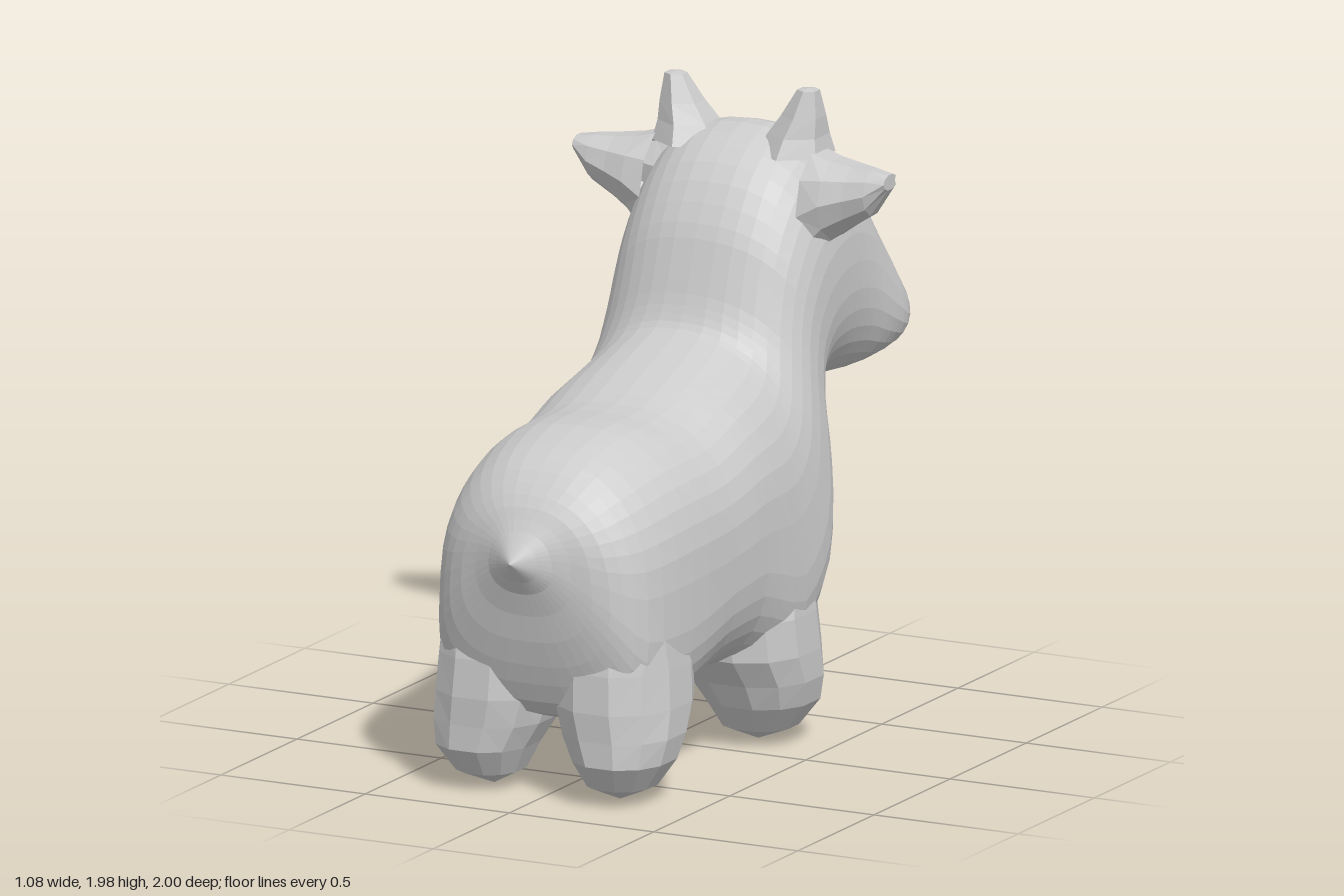
import * as THREE from 'three';

const material = new THREE.MeshStandardMaterial({ color: 0xcccccc, flatShading: true, side: THREE.DoubleSide });

// Skin a list of closed rings of points; side = -1 mirrors in x
function skin(name, rings, side = 1) {
  const n = rings[0].length, positions = [], index = [];
  rings.forEach(ring => ring.forEach(p => positions.push(p.x * side, p.y, p.z)));
  for (let i = 0; i < rings.length - 1; i++) {
    for (let j = 0; j < n; j++) {
      const k = (j + 1) % n;
      const a = i * n + j, b = a + n, c = i * n + k, d = c + n;
      if (side > 0) index.push(a, b, c, c, b, d);
      else index.push(a, c, b, c, d, b);
    }
  }
  const geometry = new THREE.BufferGeometry();
  geometry.setAttribute('position', new THREE.Float32BufferAttribute(positions, 3));
  geometry.setIndex(index);
  geometry.computeVertexNormals();
  const mesh = new THREE.Mesh(geometry, material);
  mesh.name = name;
  return mesh;
}

// Point on a rounded-square unit outline
function outline(angle, power) {
  const c = Math.cos(angle), s = Math.sin(angle), e = 2 / power;
  return [Math.sign(c) * Math.abs(c) ** e, Math.sign(s) * Math.abs(s) ** e];
}

// Ring list from [x, y, z, radiusU, radiusV]; place() maps the unit outline
function limbRings(rows, sides, power, place) {
  return rows.map(row => Array.from({ length: sides }, (_, j) => {
    const [u, v] = outline(((j + 0.5) / sides) * Math.PI * 2, power);
    return place(row, u, v);
  }));
}

// Torso, neck and head: sections hung between a back line and a belly line
function makeBody() {
  // backZ, backY, upper half width, bellyZ, bellyY, lower half width, lower squareness
  const sections = [
    [1.0, 0.79, 0, 1.0, 0.79, 0, 2.2], // tail tip
    [0.93, 0.88, 0.1, 0.925, 0.68, 0.12, 2.2],
    [0.865, 0.98, 0.25, 0.865, 0.44, 0.3, 2.8],
    [0.76, 1.07, 0.34, 0.78, 0.27, 0.38, 3.4],
    [0.55, 1.13, 0.4, 0.55, 0.24, 0.41, 3.4],
    [0.3, 1.14, 0.42, 0.3, 0.28, 0.43, 2.8],
    [0.12, 1.2, 0.425, 0.12, 0.28, 0.445, 2.8],
    [-0.04, 1.255, 0.405, -0.14, 0.23, 0.47, 3.6], // shoulders
    [-0.11, 1.285, 0.375, -0.34, 0.4, 0.475, 3.4],
    [-0.15, 1.35, 0.345, -0.45, 0.66, 0.44, 2.8],
    [-0.19, 1.46, 0.335, -0.49, 0.86, 0.39, 2.5], // neck
    [-0.24, 1.59, 0.34, -0.535, 0.965, 0.36, 2.4],
    [-0.36, 1.755, 0.345, -0.6, 1.0, 0.35, 2.4],
    [-0.53, 1.845, 0.345, -0.68, 1.0, 0.36, 2.4], // crown
    [-0.69, 1.805, 0.325, -0.76, 0.998, 0.39, 2.4],
    [-0.8, 1.64, 0.32, -0.835, 1.005, 0.42, 2.4],
    [-0.885, 1.46, 0.335, -0.905, 1.035, 0.42, 2.4], // muzzle
    [-0.95, 1.34, 0.335, -0.955, 1.085, 0.375, 2.4],
    [-0.985, 1.27, 0.29, -0.985, 1.14, 0.31, 2.4],
    [-1.0, 1.205, 0.17, -1.0, 1.205, 0.17, 2.4],
  ];
  // Half width rides along as the x of each curve
  const back = new THREE.CatmullRomCurve3(sections.map(s => new THREE.Vector3(s[2], s[1], s[0])));
  const belly = new THREE.CatmullRomCurve3(sections.map(s => new THREE.Vector3(s[5], s[4], s[3])));
  const spans = sections.length - 1, steps = spans * 3, sides = 40, rings = [];
  for (let i = 0; i <= steps; i++) {
    const top = back.getPoint(i / steps), bottom = belly.getPoint(i / steps);
    const row = Math.min(Math.floor(i / 3), spans - 1);
    const square = THREE.MathUtils.lerp(sections[row][6], sections[row + 1][6], i / 3 - row);
    rings.push(Array.from({ length: sides }, (_, j) => {
      const [u, v] = outline((j / sides) * Math.PI * 2, j > sides / 2 ? square : 2.4);
      const p = bottom.clone().lerp(top, 0.5 + 0.5 * v);
      p.x *= u;
      return p;
    }));
  }
  return skin('body', rings);
}

// Leg from its flared root down to the blunt hoof
function legRings(z, lean, spread) {
  const rows = [
    [0.22, 0.58, z + lean * 0.03, 0.2, 0.17],
    [0.225, 0.43, z + lean * 0.06, 0.215, 0.235],
    [0.23, 0.31, z + lean * 0.05, 0.22, 0.235],
    [0.245, 0.22, z + lean * 0.02, 0.205, 0.2],
    [0.26, 0.14, z, 0.17, 0.18],
    [0.25, 0.055, z, 0.115, 0.12],
    [0.24, 0.005, z, 0, 0],
  ];
  return limbRings(rows, 12, 2.3, ([x, y, cz, ru, rv], u, v) =>
    new THREE.Vector3((x + ru * u) * spread, y, cz - rv * v));
}

// Ear reaching sideways, slightly hollowed towards the face
function earRings() {
  const rows = [
    [0.27, 1.61, -0.515, 0.19, 0.15],
    [0.34, 1.65, -0.505, 0.13, 0.13],
    [0.41, 1.67, -0.5, 0.1, 0.105],
    [0.48, 1.69, -0.485, 0.075, 0.075],
    [0.54, 1.73, -0.48, 0.025, 0.045],
    [0.54, 1.73, -0.48, 0, 0],
  ];
  return limbRings(rows, 10, 2, ([x, y, z, ru, rv], u, v) =>
    new THREE.Vector3(x, y + ru * u, z - rv * (v > 0.9 ? 0.65 : v)));
}

// Short upright horn, spreading into the crown on its inner side
function hornRings() {
  const rows = [
    [0.18, 1.77, -0.54, 0.12, 0.13],
    [0.19, 1.83, -0.54, 0.095, 0.1],
    [0.21, 1.89, -0.535, 0.07, 0.07],
    [0.23, 1.975, -0.53, 0.035, 0.035],
    [0.23, 1.98, -0.53, 0, 0],
  ];
  return limbRings(rows, 6, 2, ([x, y, z, ru, rv], u, v) =>
    new THREE.Vector3(x + ru * u, y, z + rv * v));
}

export function createModel() {
  const model = new THREE.Group();
  model.name = 'calf';
  model.add(makeBody());
  for (const [label, side] of [['left', 1], ['right', -1]]) {
    model.add(
      skin(`${label}HeadEndLeg`, legRings(-0.175, 1, 1.01), side),
      skin(`${label}TailEndLeg`, legRings(0.685, -1, 0.91), side),
      skin(`${label}Ear`, earRings(), side),
      skin(`${label}Horn`, hornRings(), side),
    );
  }
  return model;
}
